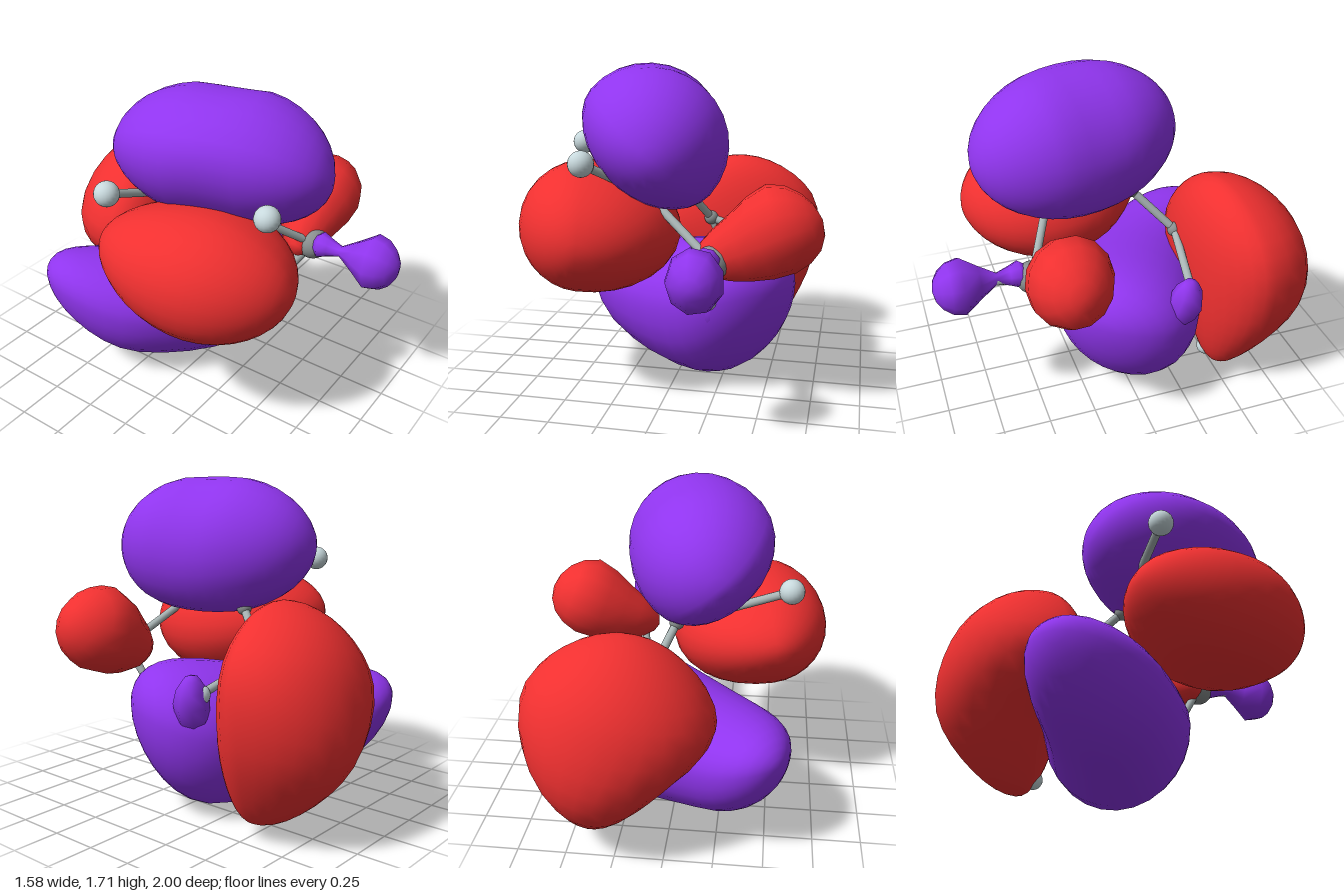
import * as THREE from 'three';
import { mergeVertices } from 'three/addons/utils/BufferGeometryUtils.js';

const RED = 0xf03030, PURPLE = 0x9035ee, ROD = 0xa9b5b5, PALE = 0xc8d9dd, GREY = 0x8a9090;
const material = (color) => new THREE.MeshStandardMaterial({ color });

// Swept ellipsoid: stations are [x, y, z, half width, half depth] along a spine,
// side is the direction the half width is measured in. A bias makes the depth
// fuller on one side and flatter on the other.
function lobe(name, color, stations, side, bias = 0, around = 28, along = 20) {
  const spine = new THREE.CatmullRomCurve3(stations.map((s) => new THREE.Vector3(s[0], s[1], s[2])));
  const widths = new THREE.CatmullRomCurve3(stations.map((s) => new THREE.Vector3(s[3], s[4], 0)));
  const axis = spine.getPoint(1).sub(spine.getPoint(0)).normalize();
  const v = new THREE.Vector3(...side).cross(axis).normalize();
  const u = axis.clone().cross(v);

  let geometry = new THREE.SphereGeometry(1, around, along);
  geometry.deleteAttribute('uv');
  geometry.deleteAttribute('normal');
  const pos = geometry.attributes.position;
  for (let i = 0; i < pos.count; i++) {
    const s = THREE.MathUtils.clamp((1 + pos.getY(i)) / 2, 0, 1);
    const r = widths.getPoint(s);
    const p = spine.getPoint(s)
      .addScaledVector(u, pos.getX(i) * r.x)
      .addScaledVector(v, pos.getZ(i) * r.y * (1 + bias * Math.sign(pos.getZ(i))));
    pos.setXYZ(i, p.x, p.y, p.z);
  }
  geometry = mergeVertices(geometry, 1e-5);
  geometry.computeVertexNormals();
  const mesh = new THREE.Mesh(geometry, material(color));
  mesh.name = name;
  return mesh;
}

function ball(name, color, center, radius) {
  const mesh = new THREE.Mesh(new THREE.SphereGeometry(radius, 20, 14), material(color));
  mesh.position.set(...center);
  mesh.name = name;
  return mesh;
}

function rod(name, from, to) {
  const a = new THREE.Vector3(...from), b = new THREE.Vector3(...to);
  const mesh = new THREE.Mesh(new THREE.CylinderGeometry(0.022, 0.022, a.distanceTo(b), 12), material(ROD));
  mesh.position.copy(a).lerp(b, 0.5);
  mesh.quaternion.setFromUnitVectors(new THREE.Vector3(0, 1, 0), b.sub(a).normalize());
  mesh.name = name;
  return mesh;
}

export function createModel() {
  const model = new THREE.Group();
  model.name = 'orbitalModel';

  // Large and small lobes
  model.add(
    lobe('topLobe', PURPLE, [
      [-0.23, 1.32, -0.40, 0.4, 0.35], [-0.16, 1.31, -0.03, 0.4, 0.345],
      [-0.06, 1.31, 0.35, 0.4, 0.345], [0.02, 1.3, 0.71, 0.4, 0.36],
    ], [1, -0.85, 0], -0.17),
    lobe('rightLobe', RED, [
      [-0.52, 0.95, -0.27, 0.26, 0.38], [-0.47, 0.9, 0.06, 0.31, 0.41],
      [-0.41, 0.87, 0.4, 0.34, 0.42], [-0.34, 0.85, 0.73, 0.34, 0.41],
    ], [0.12, 1, 0], 0.18),
    lobe('leftLobe', RED, [
      [0.17, 0.75, 0.44, 0.14, 0.15], [0.38, 0.83, 0.4, 0.17, 0.18],
      [0.59, 0.94, 0.38, 0.23, 0.24], [0.78, 0.99, 0.38, 0.23, 0.25],
    ], [0, 0, 1], 0, 14, 10),
    lobe('backLobe', RED, [
      [0.42, 0.06, -0.52, 0.22, 0.28], [0.36, 0.42, -0.59, 0.36, 0.33],
      [0.21, 0.8, -0.57, 0.5, 0.335], [0.15, 1.12, -0.54, 0.45, 0.33],
    ], [1, 0, -0.12], -0.24),
    lobe('bottomLobe', PURPLE, [
      [-0.55, 0.55, -0.7, 0.37, 0.34], [-0.28, 0.42, -0.36, 0.34, 0.32],
      [0.24, 0.44, -0.02, 0.42, 0.405], [0.53, 0.55, 0.2, 0.5, 0.45],
    ], [1, 0, -1], 0.15),
    lobe('frontLobe', PURPLE, [
      [0.25, 0.8, 0.52, 0.17, 0.17], [0.25, 0.8, 0.67, 0.03, 0.03],
      [0.255, 0.8, 0.86, 0.145, 0.165], [0.255, 0.8, 1.0, 0.16, 0.18],
    ], [1, 0, 0], 0, 9, 10),
    lobe('sideNub', PURPLE, [
      [0.48, 0.48, -0.2, 0.11, 0.1], [0.54, 0.64, -0.23, 0.09, 0.09], [0.56, 0.78, -0.25, 0.08, 0.08],
    ], [1, 0, 0], 0, 8, 6),
    lobe('frontNub', PURPLE, [
      [0.22, 0.37, 0.24, 0.12, 0.09], [0.22, 0.46, 0.27, 0.12, 0.09], [0.22, 0.55, 0.31, 0.11, 0.08],
    ], [1, 0, 0], 0, 8, 6),
  );

  // Ball and rod skeleton: a chain of grey centres, each with its pale end balls
  const centers = [[0.27, 0.78, 0.5], [-0.1, 1.06, 0.3], [0, 1.02, -0.12], [0.12, 0.8, -0.33]];
  const ends = [
    [[0.25, 0.8, 0.86], [0.22, 0.53, 0.34], [0.6, 0.95, 0.38]],
    [[-0.35, 1.25, 0.58]],
    [[-0.58, 1.24, -0.18]],
    [[0.52, 0.68, -0.27], [0.36, 0.14, -0.45]],
  ];
  const skeleton = new THREE.Group();
  skeleton.name = 'skeleton';
  centers.forEach((center, i) => {
    skeleton.add(ball('centerBall', GREY, center, i ? 0.04 : 0.085));
    if (i) skeleton.add(rod('linkRod', centers[i - 1], center));
    for (const end of ends[i]) {
      skeleton.add(rod('endRod', center, end), ball('endBall', PALE, end, ends[i].length === 1 ? 0.064 : 0.05));
    }
  });
  model.add(skeleton);
  return model;
}
